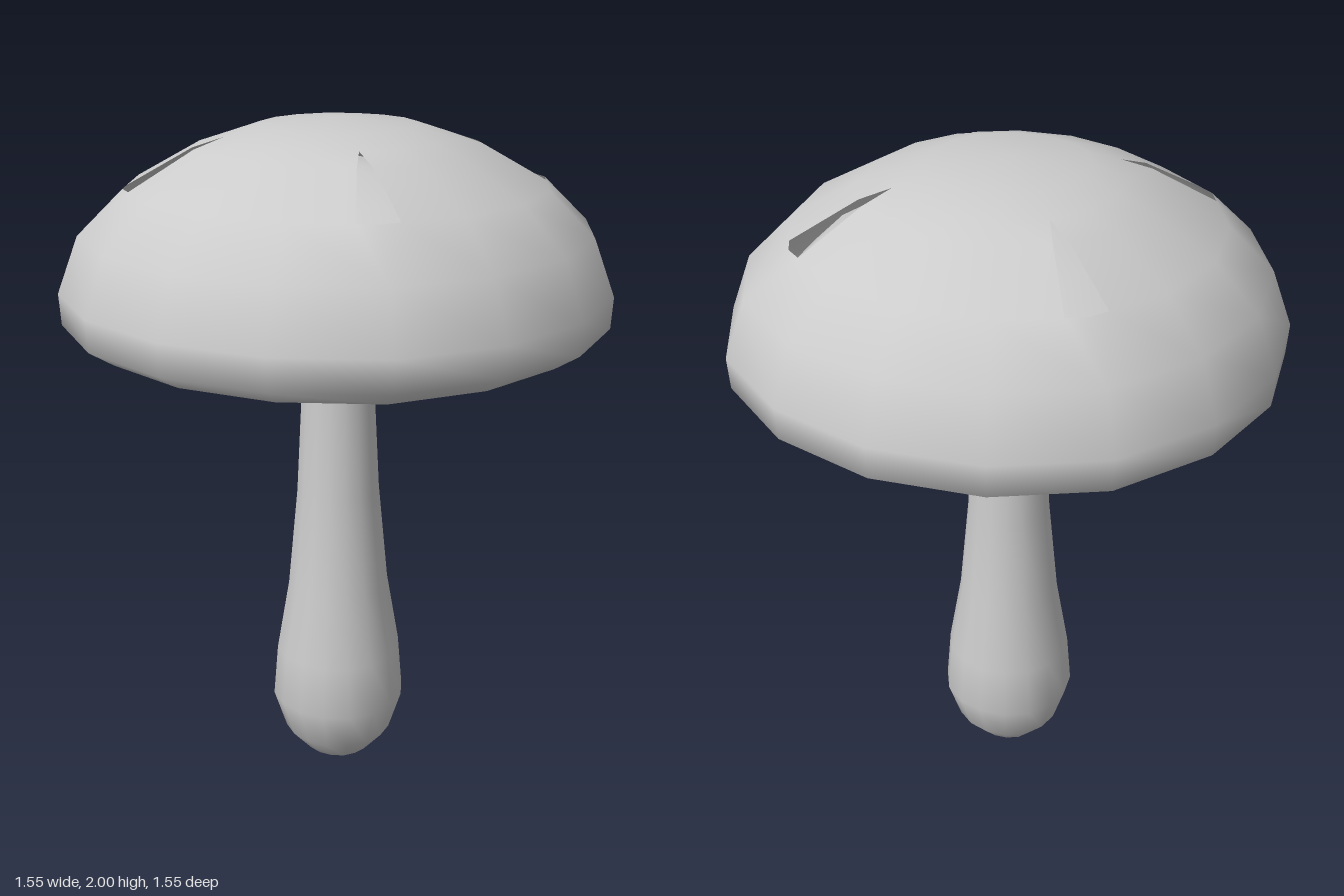
import * as THREE from 'three';
import { mergeVertices } from 'three/addons/utils/BufferGeometryUtils.js';

const SIDES = 16;
const material = new THREE.MeshStandardMaterial({ color: 0xcccccc, side: THREE.DoubleSide });

// Cross-sections are slightly fuller on the diagonals than a true circle
const fullness = (angle) => 1 + 0.02 * Math.sin(2 * angle) ** 4;

// Outer dome of stacked rings, with a tapered slot cut out on each diagonal
function capGeometry() {
  // radius, height, half-width of the slot as a fraction of one side
  const rings = [
    [0, 2, 0], [0.22, 1.98, 0], [0.312, 1.949, 0], [0.4, 1.92, 0.14], [0.587, 1.816, 0.25],
    [0.715, 1.69, 0], [0.775, 1.53, 0], [0.77, 1.44, 0], [0.7, 1.395, 0],
  ];
  const slotFirst = 2, slotLast = 3;

  // Columns: one per corner, plus one on each side of the diagonal corners
  const columns = [];
  for (let i = 0; i < SIDES; i++) {
    const diagonal = i % 4 === 2;
    if (diagonal) columns.push({ i, shift: -1 });
    columns.push({ i, shift: 0 });
    if (diagonal) columns.push({ i, shift: 1 });
  }

  const positions = [], index = [], n = columns.length;
  const corner = (i, r, y) => {
    const a = (i / SIDES) * Math.PI * 2, f = r * fullness(a);
    return new THREE.Vector3(f * Math.cos(a), y, f * Math.sin(a));
  };
  for (const [r, y, width] of rings) {
    for (const { i, shift } of columns) {
      const p = corner(i, r, y).lerp(corner(i + shift, r, y), width);
      positions.push(p.x, p.y, p.z);
    }
  }
  for (let k = 0; k < rings.length - 1; k++) {
    for (let j = 0; j < n; j++) {
      const j2 = (j + 1) % n;
      const inSlot = columns[j].i === columns[j2].i;
      if (inSlot && k >= slotFirst && k <= slotLast) continue;
      const a = k * n + j, b = k * n + j2, c = a + n, d = b + n;
      index.push(a, b, c, b, d, c);
    }
  }
  const geometry = new THREE.BufferGeometry();
  geometry.setAttribute('position', new THREE.Float32BufferAttribute(positions, 3));
  geometry.setIndex(index);
  const merged = mergeVertices(geometry, 1e-5);
  merged.computeVertexNormals();
  return merged;
}

// Turned shape from [radius, height] pairs, listed from bottom to top
function turned(profile) {
  const geometry = new THREE.LatheGeometry(profile.map(([r, y]) => new THREE.Vector2(r, y)), SIDES);
  const p = geometry.attributes.position;
  for (let i = 0; i < p.count; i++) {
    const f = fullness(Math.atan2(p.getZ(i), p.getX(i)));
    p.setX(i, p.getX(i) * f);
    p.setZ(i, p.getZ(i) * f);
  }
  return geometry;
}

export function createModel() {
  const group = new THREE.Group();
  const add = (name, geometry) => {
    const mesh = new THREE.Mesh(geometry, material);
    mesh.name = name;
    group.add(mesh);
  };

  add('cap', capGeometry());

  // Inner dome seen through the slots
  add('innerDome', turned([
    [0.69, 1.42], [0.69, 1.51], [0.635, 1.63], [0.53, 1.73], [0.36, 1.81], [0.2, 1.86], [0, 1.88],
  ]));

  // Stem with a rounded foot, flaring at the top into the shallow hollow underside
  add('stemAndUnderside', turned([
    [0, 0], [0.1, 0.03], [0.162, 0.1], [0.2, 0.22], [0.187, 0.38], [0.15, 0.6],
    [0.122, 0.9], [0.107, 1.2], [0.1, 1.36], [0.108, 1.395], [0.125, 1.425],
    [0.2, 1.445], [0.45, 1.45], [0.62, 1.43], [0.7, 1.395],
  ]));

  return group;
}
